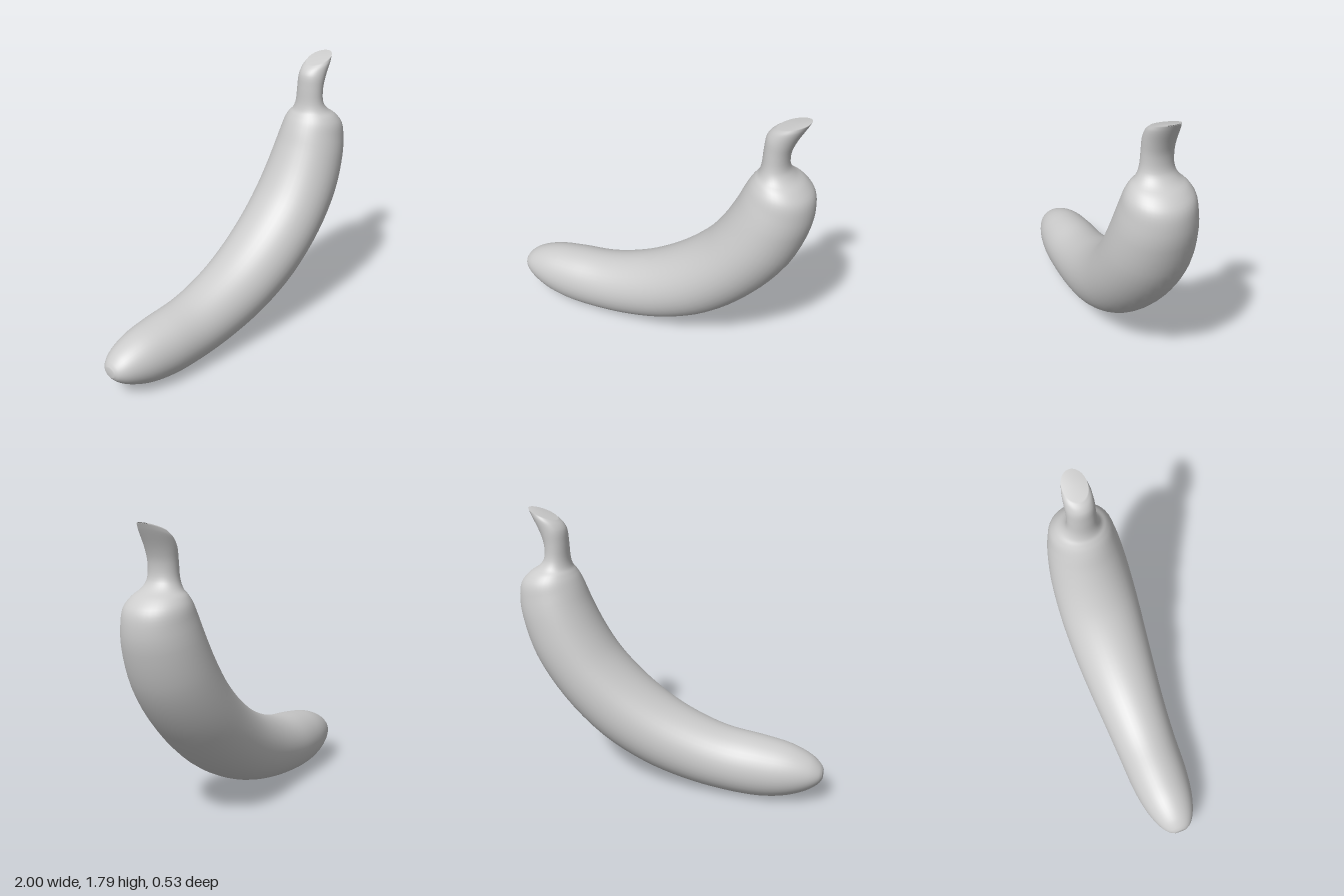
import * as THREE from 'three';

// Cross-sections from blossom tip to stem end:
// [inner edge x, y, outer edge x, y, half-width in z]
const SECTIONS = [
  [-1.0, 0.23, -1.0, 0.17, 0.04],
  [-0.98, 0.26, -0.98, 0.14, 0.075],
  [-0.92, 0.31, -0.92, 0.092, 0.12],
  [-0.79, 0.365, -0.79, 0.035, 0.167],
  [-0.6, 0.4, -0.62, 0.005, 0.195],
  [-0.38, 0.43, -0.38, 0.013, 0.207],
  [-0.2, 0.487, -0.1, 0.06, 0.222],
  [0.0, 0.585, 0.17, 0.15, 0.242],
  [0.2, 0.73, 0.45, 0.31, 0.26],
  [0.36, 0.89, 0.71, 0.56, 0.267],
  [0.46, 1.04, 0.9, 0.84, 0.258],
  [0.54, 1.2, 0.985, 1.09, 0.235],
  [0.585, 1.31, 1.0, 1.22, 0.212],
  [0.612, 1.365, 0.985, 1.32, 0.193],
  [0.635, 1.4, 0.93, 1.385, 0.162],
  [0.655, 1.43, 0.865, 1.43, 0.122],
  [0.667, 1.48, 0.828, 1.48, 0.098],
  [0.672, 1.58, 0.825, 1.57, 0.09],
  [0.68, 1.66, 0.85, 1.65, 0.09],
  [0.7, 1.695, 0.9, 1.75, 0.086],
  [0.735, 1.725, 0.919, 1.79, 0.075],
];

// Lofts smooth elliptical rings through the sections and closes both ends.
function loft(sections, rings, sides) {
  const inner = new THREE.CatmullRomCurve3(sections.map(s => new THREE.Vector3(s[0], s[1], s[4])));
  const outer = new THREE.CatmullRomCurve3(sections.map(s => new THREE.Vector3(s[2], s[3], s[4])));
  const positions = [], index = [];

  for (let i = 0; i <= rings; i++) {
    const p = inner.getPoint(i / rings), q = outer.getPoint(i / rings);
    for (let j = 0; j < sides; j++) {
      const a = (j / sides) * Math.PI * 2, k = (1 + Math.cos(a)) / 2;
      positions.push(q.x + (p.x - q.x) * k, q.y + (p.y - q.y) * k, p.z * Math.sin(a));
    }
  }
  for (let i = 0; i < rings; i++) {
    for (let j = 0; j < sides; j++) {
      const a = i * sides + j, b = i * sides + (j + 1) % sides;
      index.push(a, b, a + sides, b, b + sides, a + sides);
    }
  }

  // End caps
  const first = sections[0], last = sections[sections.length - 1];
  const tip = positions.length / 3, top = tip + 1, start = rings * sides;
  for (const s of [first, last]) positions.push((s[0] + s[2]) / 2, (s[1] + s[3]) / 2, 0);
  for (let j = 0; j < sides; j++) {
    const n = (j + 1) % sides;
    index.push(tip, n, j, top, start + j, start + n);
  }

  const geometry = new THREE.BufferGeometry();
  geometry.setAttribute('position', new THREE.Float32BufferAttribute(positions, 3));
  geometry.setIndex(index);
  geometry.computeVertexNormals();
  return geometry;
}

export function createModel() {
  const group = new THREE.Group();
  group.name = 'banana';
  const material = new THREE.MeshStandardMaterial({ color: 0xcccccc });

  // Curved fruit body flowing into the neck and stem
  const body = new THREE.Mesh(loft(SECTIONS, (SECTIONS.length - 1) * 4, 40), material);
  body.name = 'bananaBodyAndStem';
  group.add(body);
  return group;
}
